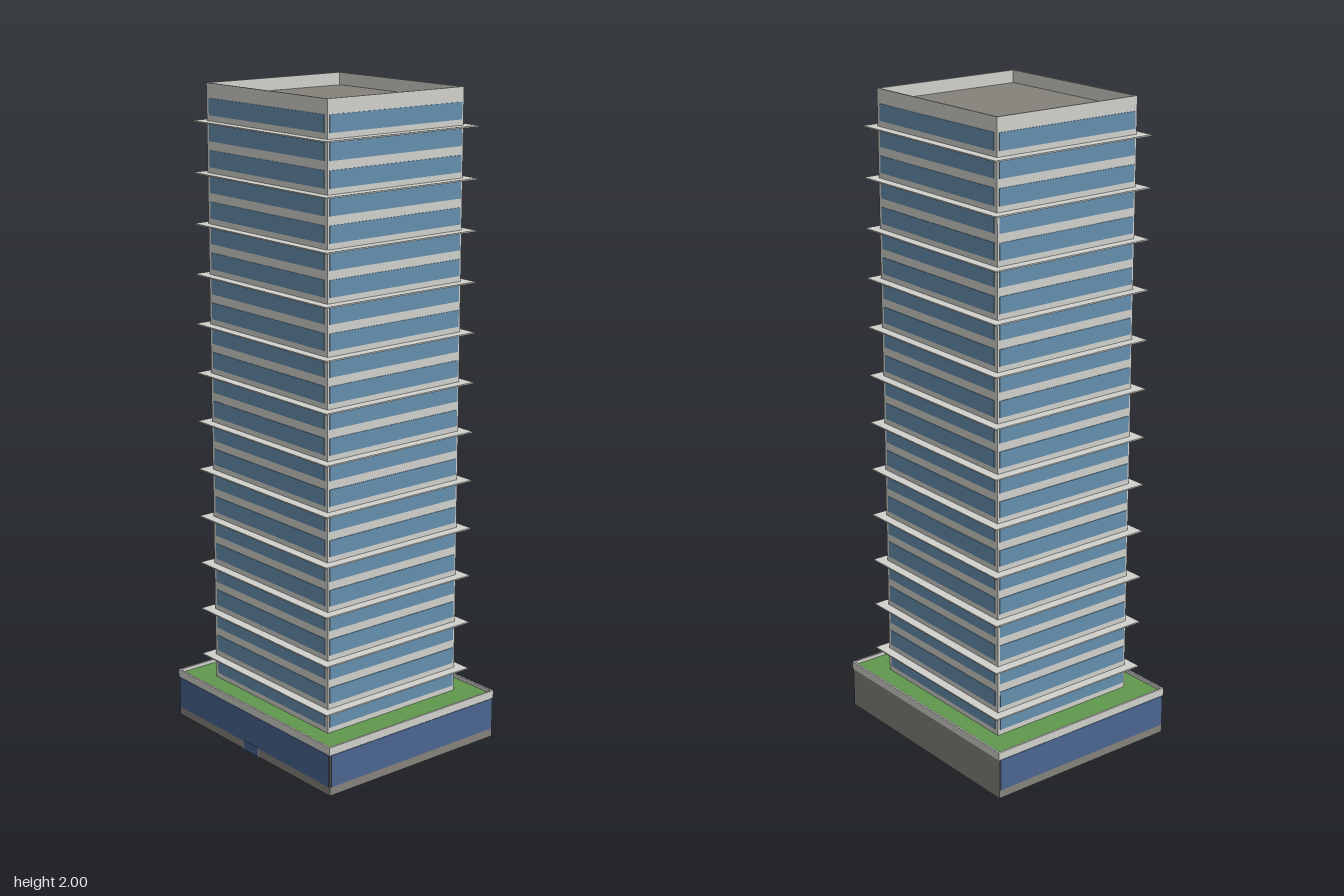
import * as THREE from 'three';

const mat = (name, color) => {
  const m = new THREE.MeshStandardMaterial({ color });
  m.name = name;
  return m;
};

export function createModel() {
  const concrete = mat('light concrete', 0xd0d0cc);
  const stone = mat('grey stone', 0x85827c);
  const glass = mat('tower glass', 0x658fae);
  const darkGlass = mat('podium glass', 0x4a648f);
  const grass = mat('grass', 0x61994d);

  const model = new THREE.Group();
  model.name = 'towerBlock';

  const group = (name) => {
    const g = new THREE.Group();
    g.name = name;
    model.add(g);
    return g;
  };

  // Box given by half width, half depth, vertical range and centre
  const box = (parent, name, material, hx, hz, y0, y1, x = 0, z = 0) => {
    const mesh = new THREE.Mesh(new THREE.BoxGeometry(2 * hx, y1 - y0, 2 * hz), material);
    mesh.name = name;
    mesh.position.set(x, (y0 + y1) / 2, z);
    parent.add(mesh);
  };

  // Rectangular ring of walls with thickness t, open in the middle
  const ring = (parent, name, material, hx, hz, t, y0, y1) => {
    const rect = (Path, a, b) => new Path([[-a, -b], [a, -b], [a, b], [-a, b]]
      .map(([x, y]) => new THREE.Vector2(x, y)));
    const shape = rect(THREE.Shape, hx, hz);
    shape.holes.push(rect(THREE.Path, hx - t, hz - t));
    const geo = new THREE.ExtrudeGeometry(shape, { depth: y1 - y0, bevelEnabled: false });
    geo.rotateX(-Math.PI / 2).translate(0, y0, 0);
    const mesh = new THREE.Mesh(geo, material);
    mesh.name = name;
    parent.add(mesh);
  };

  // Podium: hollow underneath, with a planted terrace behind a low parapet
  const PX = 0.378, PZ = 0.327;
  const podium = group('podium');
  ring(podium, 'podiumWalls', stone, PX - 0.002, PZ - 0.002, 0.005, 0, 0.128);
  box(podium, 'podiumCeiling', stone, PX - 0.004, PZ - 0.004, 0.126, 0.132);
  ring(podium, 'podiumParapet', concrete, PX, PZ, 0.006, 0.128, 0.153);
  box(podium, 'terraceLawn', grass, PX - 0.005, PZ - 0.005, 0.132, 0.142);

  // Podium glazing on the front and both sides; the back stays plain
  box(podium, 'frontGlazing', darkGlass, 0.373, 0.002, 0.027, 0.127, 0, PZ - 0.002);
  for (const s of [-1, 1]) {
    box(podium, 'sideGlazing', darkGlass, 0.002, 0.321, 0.027, 0.127, s * (PX - 0.002));
  }

  // Entrance door between two slim jambs
  const entrance = group('entrance');
  box(entrance, 'door', darkGlass, 0.035, 0.002, 0, 0.03, 0, PZ - 0.001);
  for (const s of [-1, 1]) {
    box(entrance, 'doorJamb', concrete, 0.0025, 0.002, 0, 0.028, s * 0.0375, PZ - 0.001);
  }

  // Tower shaft with recessed roof
  const TX = 0.278, TZ = 0.252, ROOF = 1.962;
  const tower = group('tower');
  box(tower, 'shaft', concrete, TX, TZ, 0.14, ROOF - 0.004);
  box(tower, 'roof', stone, TX - 0.006, TZ - 0.006, ROOF - 0.004, ROOF);
  ring(tower, 'roofParapet', concrete, TX, TZ, 0.006, ROOF - 0.004, 2);

  // Ribbon windows on all four sides of every floor
  const windows = group('windows');
  for (let i = 0; i < 24; i++) {
    const y = 0.159 + i * 0.076;
    for (const s of [-1, 1]) {
      box(windows, 'longWindow', glass, 0.265, 0.001, y, y + 0.05, 0, s * (TZ + 0.001));
      box(windows, 'sideWindow', glass, 0.001, 0.245, y, y + 0.05, s * (TX + 0.001));
    }
  }

  // Sunshade ledges around every second floor
  const ledges = group('ledges');
  for (let i = 0; i < 12; i++) {
    const y = 0.214 + i * 0.152;
    ring(ledges, 'ledge', concrete, 0.309, 0.282, 0.034, y, y + 0.004);
  }

  return model;
}
